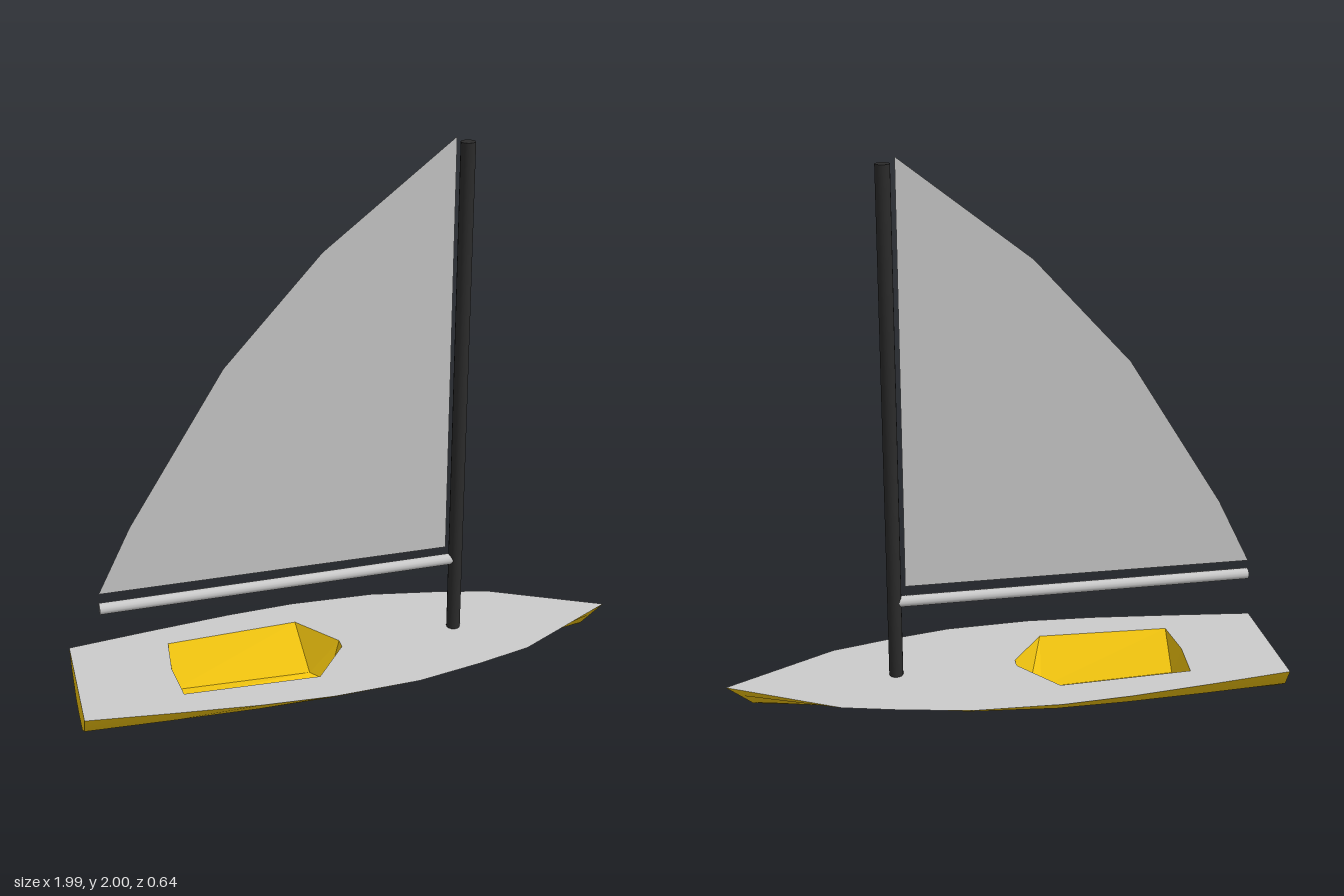
import * as THREE from 'three';

const YELLOW = 0xf1c40f, BLACK = 0x2b2b2b, GREY = 0xcccccc;
const DECK_Y = 0.16;

function add(group, name, geometry, color, options = {}) {
  const mesh = new THREE.Mesh(geometry, new THREE.MeshStandardMaterial({ color, ...options }));
  mesh.name = name;
  group.add(mesh);
  return mesh;
}

function surface(points, index) {
  const g = new THREE.BufferGeometry();
  g.setAttribute('position', new THREE.Float32BufferAttribute(points.flat(), 3));
  g.setIndex(index);
  g.computeVertexNormals();
  return g;
}

// Skin between consecutive rows of points
function loft(rows, closed = false) {
  const n = rows[0].length, index = [];
  for (let i = 0; i < rows.length - 1; i++) {
    for (let j = 0; j < (closed ? n : n - 1); j++) {
      const k = (j + 1) % n;
      const a = i * n + j, b = a + n, c = i * n + k, d = c + n;
      index.push(a, c, b, b, c, d);
    }
  }
  return surface(rows.flat(), index);
}

// Mirror a half outline of [x, z] points into a closed outline
const mirrored = half => [...half, ...half.filter(p => p[1] > 0).reverse().map(([x, z]) => [x, -z])];
const vectors = pts => pts.map(([x, y]) => new THREE.Vector2(x, y));

export function createModel() {
  const boat = new THREE.Group();
  boat.name = 'sailboat';

  // Hull stations: x, half widths at rail, chine and bottom, keel height
  const stations = [
    [-1.0, 0.235, 0.195, 0.09, 0.02],
    [-0.7, 0.272, 0.212, 0.09, 0.021],
    [-0.4, 0.305, 0.225, 0.09, 0.022],
    [-0.15, 0.32, 0.228, 0.09, 0.025],
    [0.16, 0.307, 0.21, 0.083, 0.042],
    [0.4, 0.26, 0.165, 0.065, 0.058],
    [0.6, 0.21, 0.12, 0.045, 0.071],
    [0.99, 0, 0, 0, 0.09],
  ];
  const rows = stations.map(([x, rail, chine, bottom, keel], i) => {
    const rake = i === stations.length - 1 ? 0.09 : 0;
    const mid = (DECK_Y + keel) / 2;
    const side = [
      [x, DECK_Y, rail],
      [x - rake * 0.5, mid, chine],
      [x - rake * 0.95, keel + 0.004, bottom],
    ];
    const other = side.map(([a, b, c]) => [a, b, -c]).reverse();
    return [...side, [x - rake, keel, 0], ...other];
  });
  add(boat, 'hull', loft(rows), YELLOW);

  // Flat stern
  const fan = [];
  for (let j = 1; j < rows[0].length - 1; j++) fan.push(0, j + 1, j);
  add(boat, 'transom', surface(rows[0], fan), YELLOW);

  // Deck with the cockpit opening
  const rim = mirrored([[-0.665, 0], [-0.65, 0.167], [-0.17, 0.188], [-0.045, 0.02]]);
  const deckShape = new THREE.Shape(vectors(mirrored(stations.map(s => [s[0], s[1]]))));
  deckShape.holes.push(new THREE.Path(vectors(rim)));
  const deck = new THREE.ShapeGeometry(deckShape).rotateX(-Math.PI / 2).translate(0, DECK_Y, 0);
  add(boat, 'deck', deck, GREY, { side: THREE.DoubleSide });

  // Cockpit well: sloping walls and a floor whose front dips through the keel
  const floor = mirrored([[-0.66, 0], [-0.65, 0.06], [-0.15, 0.05], [-0.09, 0.01]]);
  const floorY = x => (x < -0.5 ? 0.03 : x < -0.12 ? 0.022 : 0);
  const floorRow = floor.map(([x, z]) => [x, floorY(x), z]);
  const well = new THREE.Group();
  well.name = 'cockpit';
  boat.add(well);
  const inside = { side: THREE.DoubleSide, flatShading: true };
  add(well, 'cockpitWalls', loft([floorRow, rim.map(([x, z]) => [x, DECK_Y, z])], true), YELLOW, inside);
  const floorIndex = [];
  for (let j = 1; j < floorRow.length - 1; j++) floorIndex.push(0, j, j + 1);
  add(well, 'cockpitFloor', surface(floorRow, floorIndex), YELLOW, inside);

  // Mast
  const mast = add(boat, 'mast', new THREE.CylinderGeometry(0.025, 0.025, 1.82, 16), BLACK);
  mast.position.set(0.39, DECK_Y + 0.91, -0.007);

  // Boom, swung very slightly
  const boom = add(boat, 'boom', new THREE.CylinderGeometry(0.02, 0.02, 1.28, 12).rotateZ(Math.PI / 2), GREY);
  boom.position.set(-0.262, 0.446, -0.002);
  boom.rotation.y = 0.008;

  // Sail
  const outline = [[0.35, 0.5], [0.35, 2], [-0.1, 1.65], [-0.44, 1.28], [-0.78, 0.74], [-0.9, 0.5]];
  const sail = add(boat, 'sail', new THREE.ShapeGeometry(new THREE.Shape(vectors(outline))), GREY, { side: THREE.DoubleSide });
  sail.position.z = -0.003;

  return boat;
}
